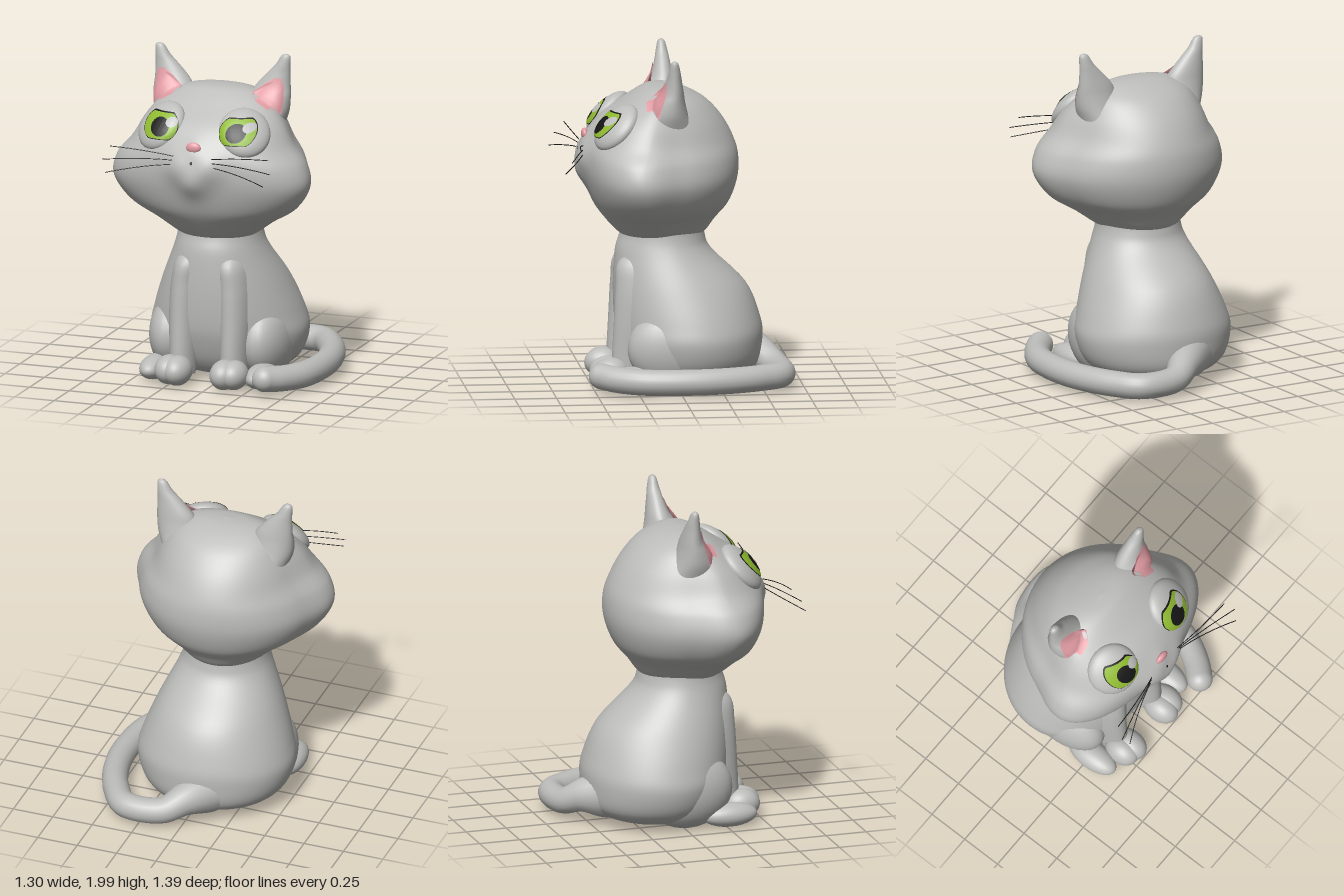
import * as THREE from 'three';

const paint = (name, color, side = THREE.FrontSide) => {
  const m = new THREE.MeshStandardMaterial({ color, side });
  m.name = name;
  return m;
};

// Smooth loft through rows of [y, centreX, halfWidth, zBack, zFront, zWidest]
function loft(rows, segments, rings, warp) {
  const spline = new THREE.CubicInterpolant(rows.map((_, i) => i), rows.flat(), 6);
  const pos = [], index = [];
  for (let i = 0; i <= rings; i++) {
    const [y, cx, w, zb, zf, zc] = spline.evaluate((i / rings) * (rows.length - 1));
    for (let j = 0; j < segments; j++) {
      const a = (j / segments) * Math.PI * 2, s = Math.sin(a);
      const p = new THREE.Vector3(cx + w * Math.cos(a), y, zc + s * (s > 0 ? zf - zc : zc - zb));
      if (warp) warp(p, s > 0);
      pos.push(p.x, p.y, p.z);
      if (i < rings) {
        const k = (j + 1) % segments, r = i * segments, t = r + segments;
        index.push(r + j, t + j, r + k, r + k, t + j, t + k);
      }
    }
  }
  return build(pos, index);
}

function build(pos, index) {
  const g = new THREE.BufferGeometry();
  g.setAttribute('position', new THREE.Float32BufferAttribute(pos, 3));
  g.setIndex(index);
  g.computeVertexNormals();
  return g;
}

// Thin patch: an outline in x,y laid onto the front of the target meshes
function patch(outline, targets, lift) {
  const n = outline.length, rings = 7, ray = new THREE.Raycaster();
  const cx = outline.reduce((s, p) => s + p[0], 0) / n;
  const cy = outline.reduce((s, p) => s + p[1], 0) / n;
  const pos = [], index = [];
  let z = 0;
  for (let i = 0; i <= rings; i++) {
    for (let j = 0; j < n; j++) {
      const x = cx + ((outline[j][0] - cx) * i) / rings;
      const y = cy + ((outline[j][1] - cy) * i) / rings;
      ray.set(new THREE.Vector3(x, y, 3), new THREE.Vector3(0, 0, -1));
      const hit = ray.intersectObjects(targets)[0];
      if (hit) z = hit.point.z;
      pos.push(x, y, z + lift);
      if (i < rings) {
        const k = (j + 1) % n, r = i * n, t = r + n;
        index.push(r + j, t + j, t + k, r + j, t + k, r + k);
      }
    }
  }
  return build(pos, index);
}

// Oval outline, cut flat above and below by the eyelids
const oval = (cx, cy, rx, ry, low = -9, high = 9) => Array.from({ length: 40 }, (_, i) => {
  const a = (i / 40) * Math.PI * 2;
  return [cx + rx * Math.cos(a), THREE.MathUtils.clamp(cy + ry * Math.sin(a), low, high)];
});

export function createModel() {
  const fur = paint('grey fur', 0xbcbcba);
  const pink = paint('pink skin', 0xe09ba2, THREE.DoubleSide);
  const green = paint('green iris', 0x8fba30, THREE.DoubleSide);
  const black = paint('black', 0x161616, THREE.DoubleSide);
  const shine = paint('eye highlight', 0xbdbdbd, THREE.DoubleSide);

  const root = new THREE.Group();
  root.name = 'sittingCat';
  const cat = new THREE.Group();
  cat.name = 'cat';
  root.add(cat);
  const add = (name, geometry, material, parent = cat) => {
    const mesh = new THREE.Mesh(geometry, material);
    mesh.name = name;
    parent.add(mesh);
    return mesh;
  };
  const ball = (name, [x, y, z], [rx, ry, rz], material = fur, parent = cat, tiltX = 0, turnY = 0) =>
    add(name, new THREE.SphereGeometry(1, 32, 20).scale(rx, ry, rz).rotateX(tiltX).rotateY(turnY)
      .translate(x, y, z), material, parent);

  // Body with a full chest
  add('body', loft([
    [0.02, 0, 0.0005, -0.101, -0.099, -0.1], [0.04, 0, 0.28, -0.36, 0.16, -0.1],
    [0.12, 0, 0.42, -0.5, 0.26, -0.1], [0.27, 0, 0.475, -0.53, 0.325, -0.1],
    [0.4, 0, 0.45, -0.515, 0.35, -0.09], [0.6, 0, 0.375, -0.43, 0.358, -0.03],
    [0.8, 0, 0.285, -0.23, 0.347, 0.04], [0.9, 0, 0.255, -0.185, 0.32, 0.06],
    [1.0, 0, 0.25, -0.18, 0.3, 0.06],
  ], 64, 48), fur);

  // Head: round at the back, with a soft muzzle and chin pushed forward
  const bump = (p, x, y, r) => Math.exp(-((p.x - x) ** 2 + (p.y - y) ** 2) / (2 * r * r));
  const head = add('head', loft([
    [0.88, 0, 0.2, -0.12, 0.27, 0.08], [0.92, 0, 0.268, -0.19, 0.335, 0.09],
    [1.0, 0, 0.375, -0.25, 0.41, 0.13],
    [1.1, 0, 0.525, -0.33, 0.48, 0.18], [1.24, 0, 0.61, -0.38, 0.525, 0.22],
    [1.37, 0, 0.585, -0.385, 0.54, 0.22], [1.48, 0, 0.5, -0.355, 0.525, 0.18],
    [1.6, 0, 0.435, -0.29, 0.44, 0.14], [1.7, 0, 0.36, -0.2, 0.3, 0.1],
    [1.76, 0, 0.27, -0.1, 0.21, 0.08], [1.79, 0, 0.16, -0.01, 0.15, 0.07],
    [1.8, 0, 0.0005, 0.069, 0.071, 0.07],
  ], 112, 80, (p, front) => {
    p.x *= 1 - 0.065 * THREE.MathUtils.smoothstep(-p.z, -0.2, 0.02);
    if (!front) return;
    p.z += 0.035 * (bump(p, 0.09, 1.38, 0.065) + bump(p, -0.09, 1.38, 0.065));
    p.z += 0.04 * bump(p, 0, 1.28, 0.06) + 0.015 * bump(p, 0, 1.5, 0.04);
  }), fur);

  for (const s of [1, -1]) {
    const side = s > 0 ? 'left' : 'right';

    // Ear with pink lining
    const ear = add(side + 'Ear', loft([
      [1.58, 0.28, 0.12, -0.09, 0.2, 0.06], [1.66, 0.29, 0.135, -0.06, 0.18, 0.05],
      [1.74, 0.305, 0.125, -0.04, 0.14, 0.04], [1.8, 0.32, 0.107, -0.03, 0.1, 0.03],
      [1.88, 0.355, 0.07, -0.015, 0.075, 0.03], [1.93, 0.38, 0.046, -0.005, 0.065, 0.03],
      [1.985, 0.398, 0.028, 0.01, 0.052, 0.032], [2.0, 0.4, 0.002, 0.03, 0.034, 0.032],
    ].map((r) => [r[0], s * r[1], ...r.slice(2)]), 32, 28), fur);
    const lining = [[0.39, 1.855], [0.35, 1.86], [0.3, 1.83], [0.22, 1.77], [0.27, 1.73],
      [0.34, 1.69], [0.405, 1.65], [0.41, 1.72], [0.405, 1.8]];
    add(side + 'EarLining', patch(lining.map(([x, y]) => [s * x, y]), [head, ear], 0.007), pink);

    // Eye: lids lying along the slope of the face, thin rim, iris, pupil and highlight
    const eye = ball(side + 'Eyelids', [s * 0.262, 1.582, 0.365], [0.155, 0.165, 0.07], fur, cat, -0.72, s * 0.45);
    const on = [eye, head];
    add(side + 'EyeRim', patch(oval(s * 0.242, 1.6, 0.113, 0.093, 1.526, 1.676), on, 0.003), black);
    add(side + 'Iris', patch(oval(s * 0.242, 1.6, 0.109, 0.09, 1.531, 1.67), on, 0.006), green);
    add(side + 'Pupil', patch(oval(s * 0.24, 1.597, 0.06, 0.052), on, 0.009), black);
    add(side + 'EyeHighlight', patch(oval(s * 0.24 + 0.07, 1.628, 0.036, 0.027), on, 0.012), shine);

    // Whiskers
    [[1.45, 1.49, 0.5, 0.6], [1.425, 1.42, 0.53, 0.655], [1.4, 1.35, 0.5, 0.69]].forEach(([y0, y1, x, z], i) => {
      const curve = new THREE.QuadraticBezierCurve3(
        new THREE.Vector3(s * 0.12, y0, 0.55),
        new THREE.Vector3(s * 0.3, (y0 + y1) / 2 + 0.015, 0.59),
        new THREE.Vector3(s * x, y1, z));
      add(side + 'Whisker' + (i + 1), new THREE.TubeGeometry(curve, 12, 0.0027, 6), black);
    });

    // Front leg and paw, haunch and hind foot
    add(side + 'FrontLeg', loft([
      [0.06, 0.16, 0.075, 0.2, 0.38, 0.28], [0.2, 0.16, 0.085, 0.15, 0.38, 0.24],
      [0.4, 0.16, 0.1, 0.1, 0.37, 0.2], [0.6, 0.15, 0.105, 0.1, 0.36, 0.18],
      [0.75, 0.13, 0.09, 0.1, 0.34, 0.18], [0.84, 0.12, 0.005, 0.19, 0.21, 0.2],
    ].map((r) => [r[0], s * r[1], ...r.slice(2)]), 28, 28), fur);
    ball(side + 'PawInner', [s * 0.148, 0.1, 0.4], [0.085, 0.09, 0.115]);
    ball(side + 'PawOuter', [s * 0.205, 0.1, 0.39], [0.085, 0.088, 0.11]);
    ball(side + 'Haunch', [s * 0.285, 0.25, 0.02], [0.155, 0.24, 0.28]);
    ball(side + 'HindFoot', [s * 0.335, 0.08, 0.27], [0.085, 0.072, 0.17]);
  }

  // Nose and mouth
  ball('nose', [0, 1.505, 0.528], [0.046, 0.034, 0.021], pink);
  add('mouth', patch(oval(0, 1.42, 0.008, 0.01), [head], 0.004), black);
  cat.position.x = -0.045;

  // Tail curling round the left side, thick where it leaves the body
  const tail = new THREE.Group();
  tail.name = 'tail';
  root.add(tail);
  const path = new THREE.CatmullRomCurve3([[-0.1, 0.2, -0.4], [0, 0.165, -0.52], [0.11, 0.11, -0.6],
    [0.34, 0.1, -0.605], [0.45, 0.1, -0.47], [0.53, 0.1, -0.28], [0.567, 0.1, -0.05],
    [0.54, 0.1, 0.22], [0.46, 0.105, 0.38], [0.385, 0.115, 0.47]].map((p) => new THREE.Vector3(...p)));
  const steps = 80, sides = 20;
  const tube = new THREE.TubeGeometry(path, steps, 0.078, sides);
  const points = tube.attributes.position, v = new THREE.Vector3();
  for (let i = 0; i < points.count; i++) {
    const u = Math.floor(i / (sides + 1)) / steps, centre = path.getPointAt(u);
    v.fromBufferAttribute(points, i).sub(centre).multiplyScalar(1 + 0.9 * Math.exp(-((u / 0.09) ** 2)));
    points.setXYZ(i, ...v.add(centre));
  }
  add('tailTube', tube, fur, tail);
  ball('tailTip', [0.385, 0.115, 0.47], [0.077, 0.077, 0.077], fur, tail);

  return root;
}
